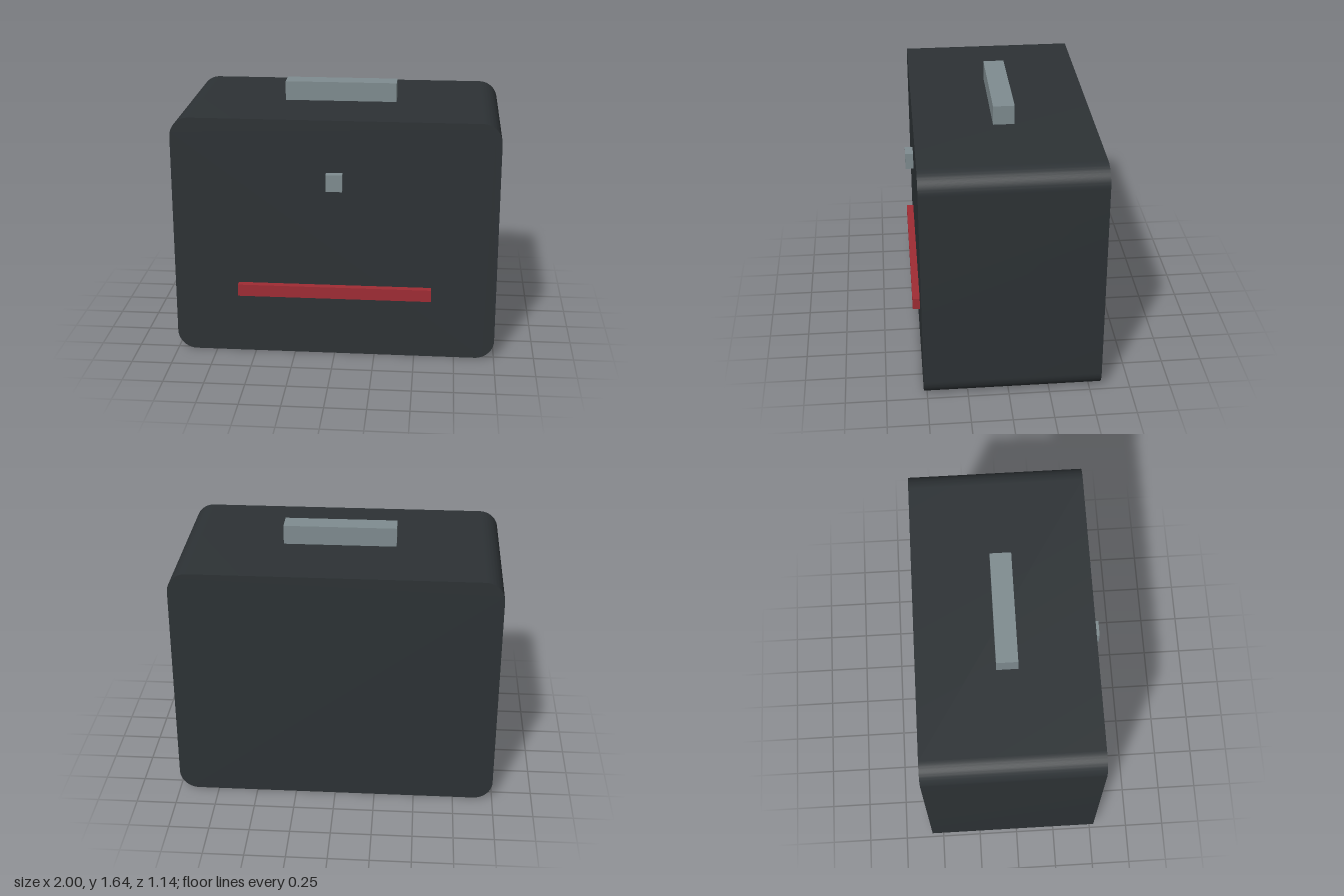
import * as THREE from 'three';
import { toCreasedNormals } from 'three/addons/utils/BufferGeometryUtils.js';

const W = 2, H = 1.52, R = 0.12, BACK = -0.57, FRONT = 0.52;

const paint = (color) => new THREE.MeshStandardMaterial({ color });

// Box given by its [min, max] range on each axis
function block(name, [x0, x1], [y0, y1], [z0, z1], material) {
  const mesh = new THREE.Mesh(new THREE.BoxGeometry(x1 - x0, y1 - y0, z1 - z0), material);
  mesh.position.set((x0 + x1) / 2, (y0 + y1) / 2, (z0 + z1) / 2);
  mesh.name = name;
  return mesh;
}

// Case outline: rectangle with four rounded corners
function roundedRect(w, h, r) {
  const shape = new THREE.Shape();
  shape.absarc(w / 2 - r, r, r, -Math.PI / 2, 0);
  shape.absarc(w / 2 - r, h - r, r, 0, Math.PI / 2);
  shape.absarc(-w / 2 + r, h - r, r, Math.PI / 2, Math.PI);
  shape.absarc(-w / 2 + r, r, r, Math.PI, Math.PI * 1.5);
  shape.closePath();
  return shape;
}

export function createModel() {
  const group = new THREE.Group();
  group.name = 'case';
  const metal = paint(0x7f8c90);

  // Body: rounded outline with sharp front and back rims
  const shell = new THREE.ExtrudeGeometry(roundedRect(W, H, R), {
    depth: FRONT - BACK, bevelEnabled: false, curveSegments: 12,
  });
  shell.translate(0, 0, BACK);
  const body = new THREE.Mesh(toCreasedNormals(shell, 0.6), paint(0x2d3235));
  body.name = 'body';
  group.add(body);

  // Carrying handle, front latch and coloured trim strip
  group.add(
    block('handle', [-0.35, 0.35], [H - 0.01, 1.64], [-0.09, 0.04], metal),
    block('latch', [-0.05, 0.05], [1.09, 1.195], [FRONT - 0.01, 0.57], metal),
    block('trimStrip', [-0.6, 0.6], [0.39, 0.465], [FRONT, 0.565], paint(0xa02c34)),
  );
  return group;
}
